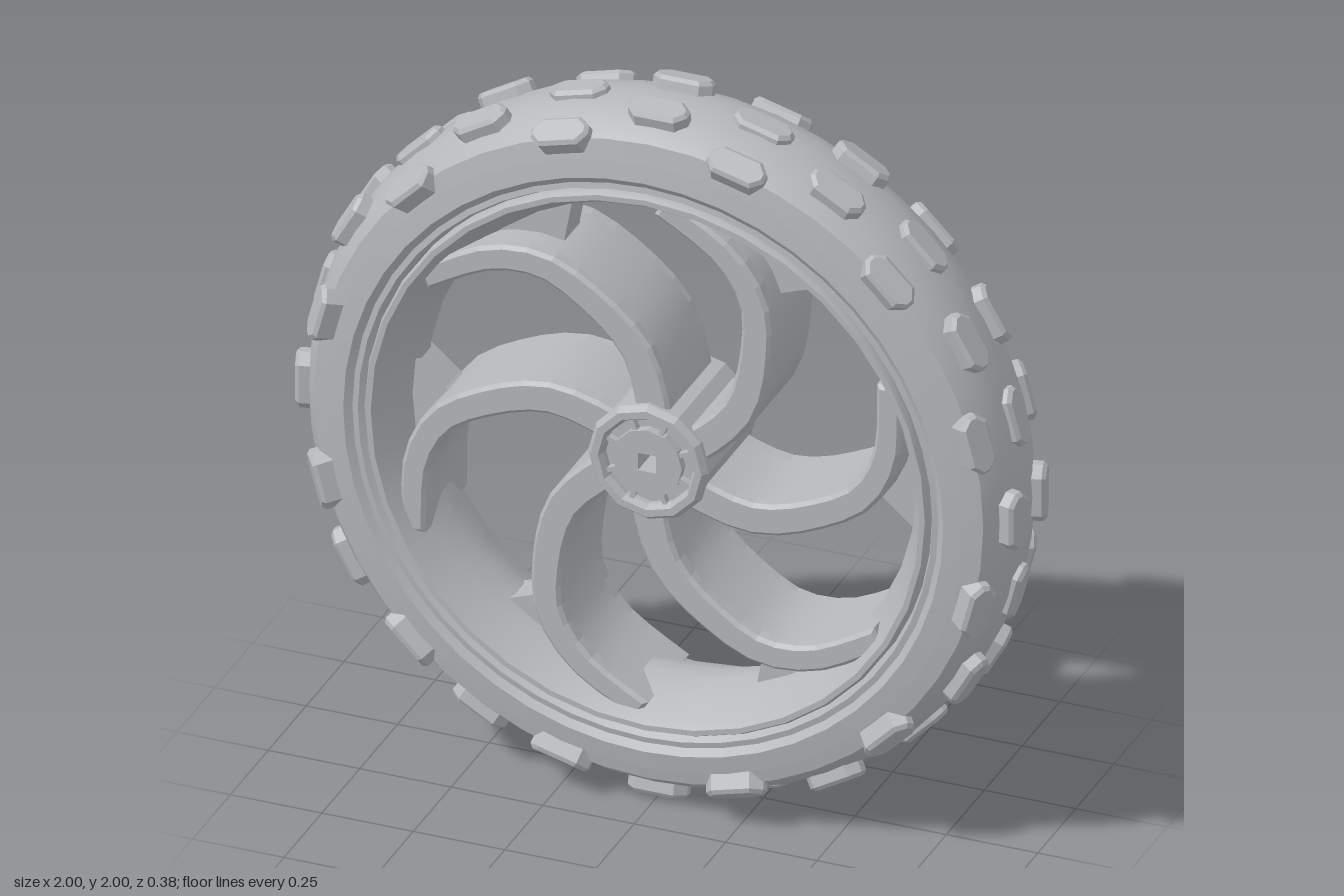
import * as THREE from 'three';
import { toCreasedNormals } from 'three/addons/utils/BufferGeometryUtils.js';

const V2 = (x, y) => new THREE.Vector2(x, y);
const polar = (r, deg) => V2(r * Math.cos(deg * Math.PI / 180), r * Math.sin(deg * Math.PI / 180));

// Closed ring turned around the z axis from half a profile [r, z]; outer points run inward from +z
function turned(outer, inner, segments, crease) {
  const flip = (list) => list.filter((p) => p[1] > 0).map(([r, z]) => [r, -z]).reverse();
  const out = [...flip(outer), ...[...outer].reverse().sort((a, b) => a[1] - b[1])];
  const inn = [...inner].sort((a, b) => b[1] - a[1]);
  const back = inn.filter((p) => p[1] > 0).map(([r, z]) => [r, -z]).reverse();
  const loop = [...out, ...inn, ...back, out[0]].map(([r, z]) => V2(r, z));
  const geo = new THREE.LatheGeometry(loop, segments).rotateX(Math.PI / 2);
  return toCreasedNormals(geo, crease);
}

// Flat shape extruded between -half and +half depth
function slab(shape, half, curveSegments = 12) {
  const geo = new THREE.ExtrudeGeometry(shape, { depth: 2 * half, bevelEnabled: false, curveSegments });
  return geo.translate(0, 0, -half);
}

// Strip around a stretch of a curve; width(t) is the half width
function strip(curve, t0, t1, width, steps) {
  const left = [], right = [];
  for (let i = 0; i <= steps; i++) {
    const t = t0 + (t1 - t0) * i / steps;
    const p = curve.getPointAt(t), d = curve.getTangentAt(t), w = width(t);
    left.push(V2(p.x - d.y * w, p.y + d.x * w));
    right.push(V2(p.x + d.y * w, p.y - d.x * w));
  }
  return [...left, ...right.reverse()];
}

export function createModel() {
  const model = new THREE.Group();
  model.name = 'spokedWheel';
  const wheel = new THREE.Group();
  wheel.name = 'wheel';
  wheel.position.y = 1;
  model.add(wheel);

  const grey = new THREE.MeshStandardMaterial({ color: 0xb5b7bb });
  grey.name = 'plain grey';
  const add = (parent, name, geo) => {
    const mesh = new THREE.Mesh(geo, grey);
    mesh.name = name;
    parent.add(mesh);
    return mesh;
  };

  // Tyre carcass
  add(wheel, 'tyre', turned(
    [[0.972, 0], [0.966, 0.06], [0.948, 0.11], [0.915, 0.155], [0.87, 0.183], [0.82, 0.19], [0.785, 0.178]],
    [[0.775, 0.155], [0.765, 0.1]], 48, 0.7));

  // Rim barrel, narrowest in the middle, with a lip at each side
  add(wheel, 'rim', turned(
    [[0.772, 0], [0.772, 0.165], [0.765, 0.178]],
    [[0.75, 0.178], [0.738, 0.16], [0.705, 0.09], [0.68, 0.03], [0.68, 0]], 36, 0.5));

  // Tread knobs: chamfered pads in five staggered rows
  const pad = new THREE.Shape([
    V2(-0.072, -0.008), V2(-0.05, -0.03), V2(0.05, -0.03), V2(0.072, -0.008),
    V2(0.072, 0.008), V2(0.05, 0.03), V2(-0.05, 0.03), V2(-0.072, 0.008)]);
  const padGeo = new THREE.ExtrudeGeometry(pad, {
    depth: 0.05, bevelThickness: 0.01, bevelSize: 0.009, bevelSegments: 1 }).translate(0, 0, -0.06);
  const rows = [
    { name: 'centreKnob', r: 0.988, z: 0, tilt: 0, start: 15 },
    { name: 'innerKnob', r: 0.99, z: 0.088, tilt: 0.26, start: 0 },
    { name: 'innerKnob', r: 0.99, z: -0.088, tilt: -0.26, start: 0 },
    { name: 'shoulderKnob', r: 0.942, z: 0.162, tilt: 0.62, start: 15 },
    { name: 'shoulderKnob', r: 0.942, z: -0.162, tilt: -0.62, start: 15 }];
  for (const { name, r, z, tilt, start } of rows) {
    const c = Math.cos(tilt), s = Math.sin(tilt);
    const place = new THREE.Matrix4().makeBasis(
      new THREE.Vector3(0, 1, 0), new THREE.Vector3(-s, 0, c), new THREE.Vector3(c, 0, s)).setPosition(r, 0, z);
    const geo = padGeo.clone().applyMatrix4(place);
    for (let i = 0; i < 12; i++) add(wheel, name, geo).rotation.z = (start + 30 * i) * Math.PI / 180;
  }

  // Curved spokes: deep blade, bevelled edge caps with a slot, and a web to the rim
  const path = new THREE.SplineCurve([[0.12, 26], [0.23, 33], [0.33, 40], [0.45, 51], [0.575, 61], [0.66, 73], [0.735, 88]]
    .map(([r, a]) => polar(r, a)));
  const width = (t) => 0.048 - 0.016 * t;
  const outline = strip(path, 0, 1, width, 14);
  const bladeGeo = toCreasedNormals(slab(new THREE.Shape(outline), 0.115), 0.5);
  const capShape = new THREE.Shape(outline);
  capShape.holes.push(new THREE.Path(strip(path, 0.1, 0.42, () => 0.011, 6)));
  const capGeo = new THREE.ExtrudeGeometry(capShape, {
    depth: 0.03, bevelThickness: 0.01, bevelSize: 0.01, bevelOffset: -0.01, bevelSegments: 1 });
  const web = [polar(0.55, 60), polar(0.6, 57), polar(0.645, 54), polar(0.7, 51)];
  for (let a = 56; a <= 88; a += 8) web.push(polar(0.71, a));
  web.push(polar(0.66, 73), polar(0.61, 65));
  const webGeo = slab(new THREE.Shape(web), 0.05);

  for (let i = 0; i < 6; i++) {
    const spoke = new THREE.Group();
    spoke.name = 'spoke';
    spoke.rotation.z = i * Math.PI / 3;
    add(spoke, 'spokeBlade', bladeGeo);
    add(spoke, 'spokeFrontCap', capGeo).position.z = 0.105;
    add(spoke, 'spokeBackCap', capGeo).position.z = -0.135;
    add(spoke, 'spokeWeb', webGeo);
    wheel.add(spoke);
  }

  // Hub: outer collar, recessed core and a boss, pierced by a square axle hole
  const hub = new THREE.Group();
  hub.name = 'hub';
  wheel.add(hub);
  add(hub, 'hubCollar', turned(
    [[0.165, 0], [0.165, 0.155], [0.152, 0.172]],
    [[0.132, 0.172], [0.122, 0.155], [0.122, 0]], 12, 0.3));
  const pierced = (r) => {
    const shape = new THREE.Shape().absarc(0, 0, r, 0, Math.PI * 2);
    const h = 0.025;
    shape.holes.push(new THREE.Path([V2(-h, -h), V2(-h, h), V2(h, h), V2(h, -h)]));
    return shape;
  };
  add(hub, 'hubCore', slab(pierced(0.13), 0.14, 6));
  add(hub, 'hubBoss', slab(pierced(0.095), 0.165, 6));

  // Small ribs between boss and collar
  const ribGeo = new THREE.BoxGeometry(0.05, 0.012, 0.318).translate(0.11, 0, 0);
  for (let i = 0; i < 8; i++) add(hub, 'hubRib', ribGeo).rotation.z = (i + 0.5) * Math.PI / 4;

  return model;
}
